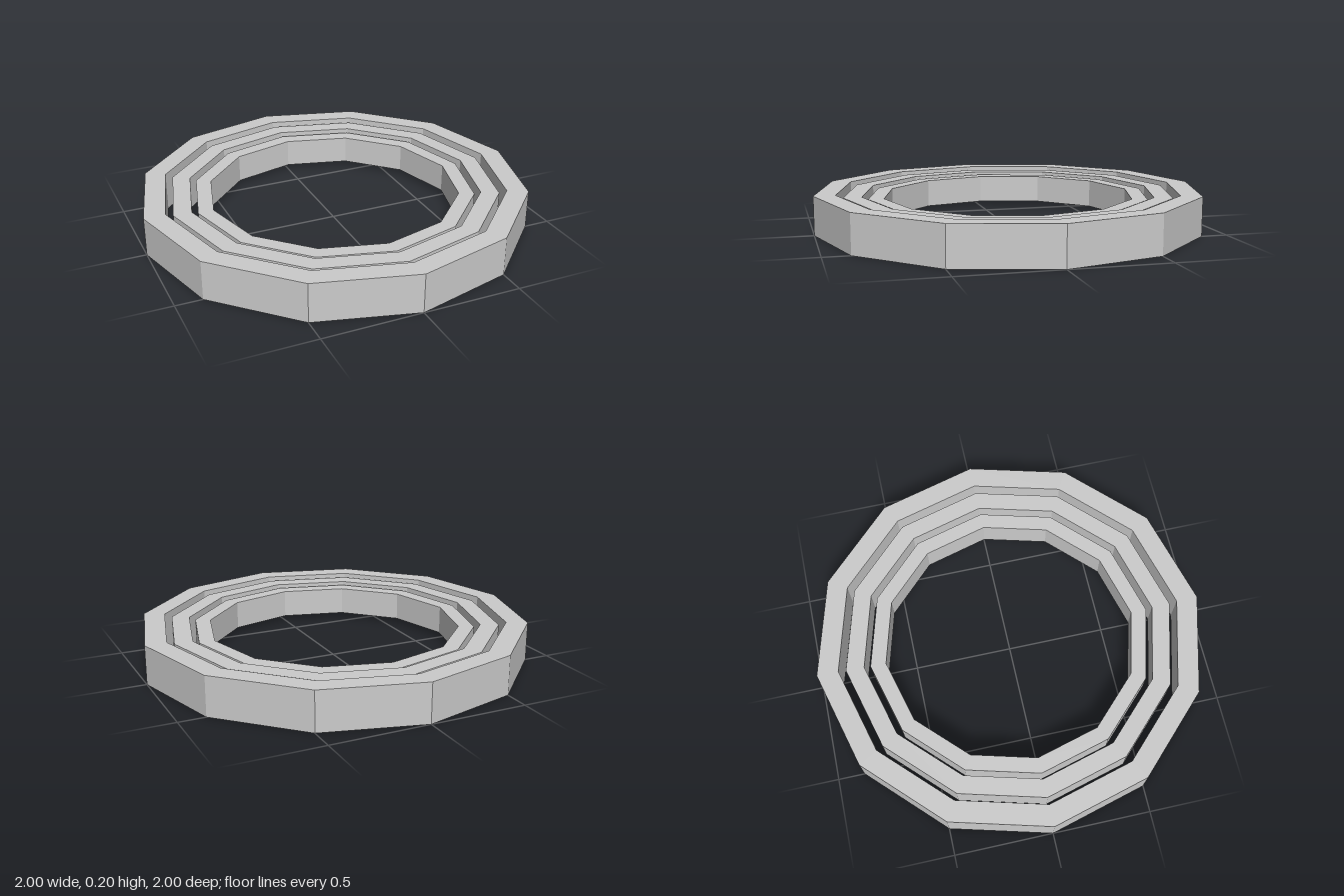
import * as THREE from 'three';

const SIDES = 12;
const HEIGHT = 0.2;
const INNER_RADIUS = 0.89;
const STEP = 0.853; // each nested ring is a scaled copy of the one around it

export function createModel() {
  const model = new THREE.Group();
  model.name = 'nestedRings';

  const material = new THREE.MeshStandardMaterial({ color: 0xcccccc, flatShading: true });

  // rectangular band section, closed, turned into a twelve-sided ring
  const h = HEIGHT / 2;
  const section = [
    [INNER_RADIUS, -h], [1, -h], [1, h], [INNER_RADIUS, h], [INNER_RADIUS, -h],
  ].map(([r, y]) => new THREE.Vector2(r, y));
  const ringGeometry = new THREE.LatheGeometry(section, SIDES);

  // three rings sharing one centre, each smaller in every direction
  ['outerRing', 'middleRing', 'innerRing'].forEach((name, i) => {
    const ring = new THREE.Mesh(ringGeometry, material);
    ring.name = name;
    ring.scale.setScalar(STEP ** i);
    ring.position.y = h;
    model.add(ring);
  });

  return model;
}
